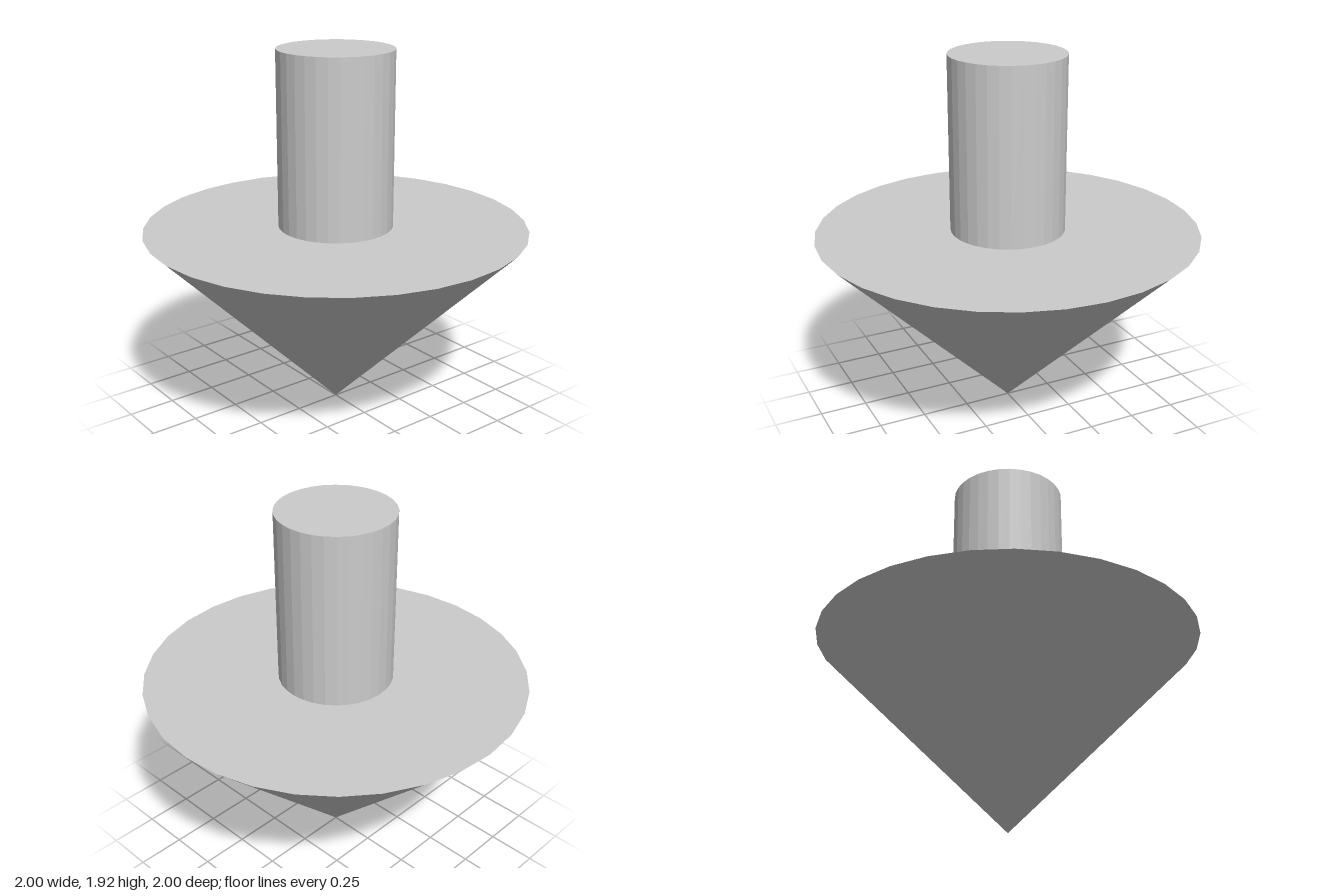
import * as THREE from 'three';

const SIDES = 32;
const CONE_HEIGHT = 1;
const STEM_HEIGHT = 0.92;

export function createModel() {
  const group = new THREE.Group();
  group.name = 'coneWithStem';
  const material = new THREE.MeshStandardMaterial({ color: 0xcccccc, flatShading: true });

  // Faceted cone standing on its point, closed by a flat disc on top
  const cone = new THREE.Mesh(new THREE.ConeGeometry(1, CONE_HEIGHT, SIDES), material);
  cone.name = 'cone';
  cone.rotation.x = Math.PI;
  cone.position.y = CONE_HEIGHT / 2;

  // Upright round stem on the middle of the disc
  const stem = new THREE.Mesh(new THREE.CylinderGeometry(0.3, 0.3, STEM_HEIGHT, SIDES), material);
  stem.name = 'stem';
  stem.position.y = CONE_HEIGHT + STEM_HEIGHT / 2;

  group.add(cone, stem);
  return group;
}
